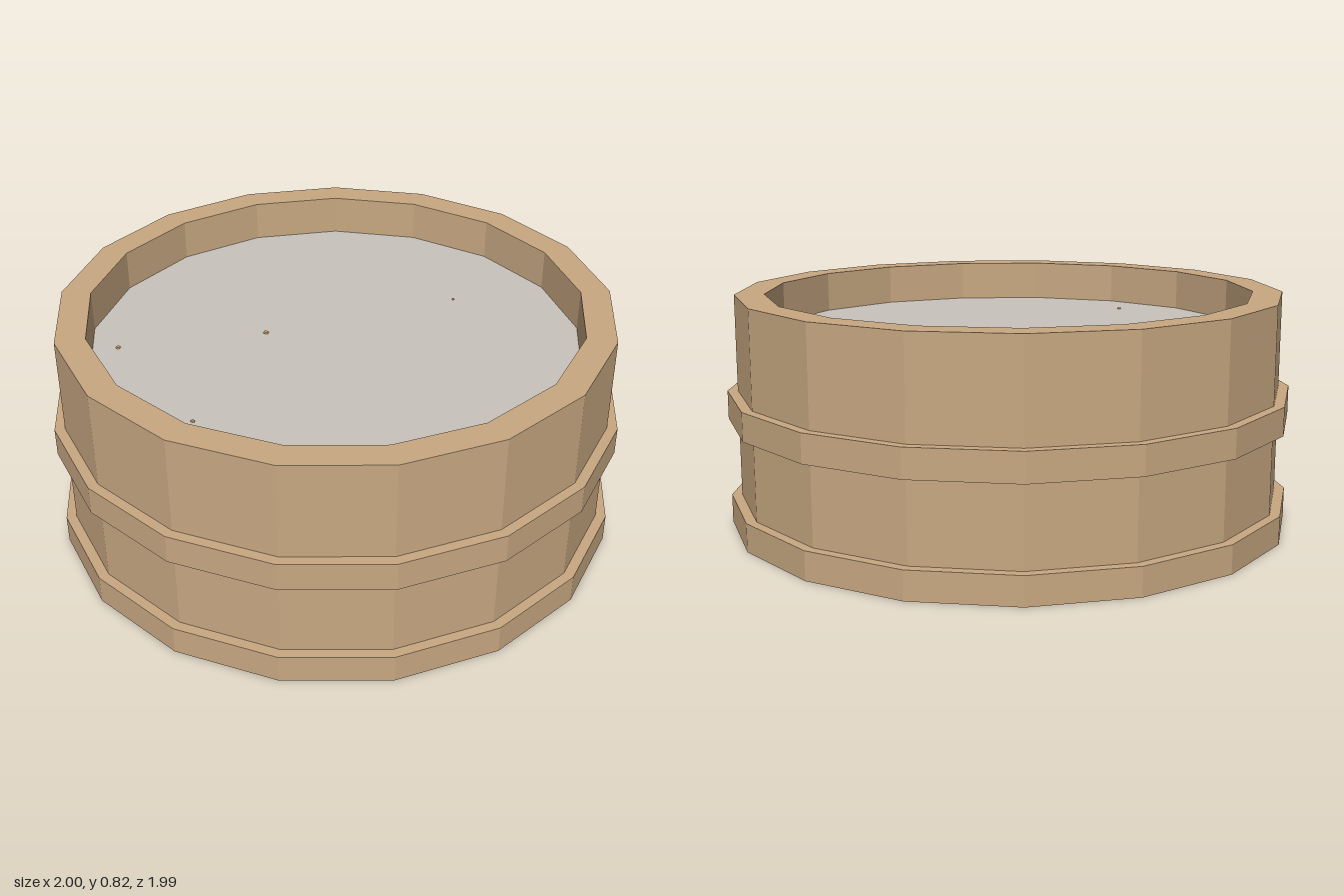
import * as THREE from 'three';

const SIDES = 17;

export function createModel() {
  const model = new THREE.Group();
  model.name = 'tub';

  const wood = new THREE.MeshStandardMaterial({ color: 0xc8a882, flatShading: true });
  wood.name = 'wood';
  const fill = new THREE.MeshStandardMaterial({ color: 0xc8c4bc, flatShading: true });
  fill.name = 'pale fill';
  const tan = new THREE.MeshStandardMaterial({ color: 0xd0a468, flatShading: true });
  tan.name = 'tan speck';

  // seventeen-sided body, one corner pointing straight back
  const body = new THREE.Group();
  body.name = 'body';
  body.position.z = 0.0085;
  model.add(body);

  const add = (name, geometry, material, parent = body) => {
    const mesh = new THREE.Mesh(geometry, material);
    mesh.name = name;
    parent.add(mesh);
    return mesh;
  };
  const turned = (points) => new THREE.LatheGeometry(
    points.map(([r, y]) => new THREE.Vector2(r, y)), SIDES, Math.PI);

  const R = 1.004, WALL = 0.968, INNER = 0.864, TOP = 0.82, LEVEL = 0.675;

  // base band with closed underside
  add('baseBand', turned([[0, 0], [R, 0], [R, 0.1], [WALL, 0.1]]), wood);

  // outer wall, rim and inner wall
  add('wall', turned([[WALL, 0.1], [WALL, TOP], [INNER, TOP], [INNER, LEVEL]]), wood);

  // raised middle band
  add('middleBand', turned([[WALL, 0.38], [R, 0.38], [R, 0.48], [WALL, 0.48]]), wood);

  // flat surface inside the rim
  add('fillSurface', turned([[INNER, LEVEL], [0, LEVEL]]), fill);

  // tiny specks just breaking the surface: x, z, radius
  const specks = [[0.3, -0.42, 0.005], [-0.25, 0.05, 0.011], [-0.69, 0.33, 0.01], [-0.245, 0.65, 0.008]];
  for (const [x, z, r] of specks) {
    const speck = add('speck', new THREE.CylinderGeometry(r * 0.7, r, 0.004, 6), tan, model);
    speck.position.set(x, LEVEL + 0.002, z);
  }

  return model;
}
